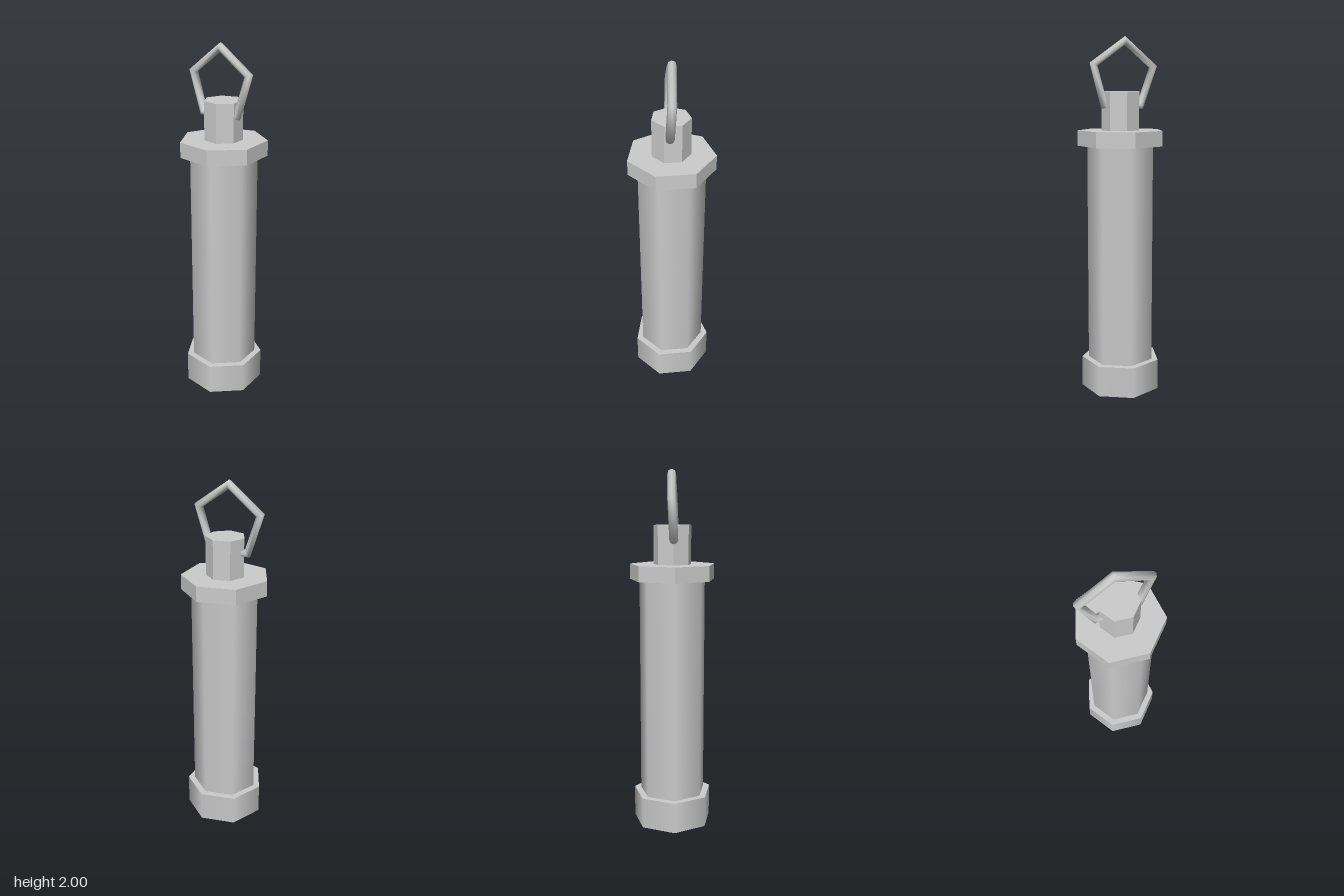
import * as THREE from 'three';

const SIDES = 7;
const AXIS_X = -0.012; // heptagons are centred slightly left so the whole is centred

// Seven-sided prism with one corner pointing to +x
function prism(name, radius, y0, y1, flatShading) {
  const geometry = new THREE.CylinderGeometry(radius, radius, y1 - y0, SIDES);
  geometry.rotateY(Math.PI / 2);
  const mesh = new THREE.Mesh(
    geometry,
    new THREE.MeshStandardMaterial({ color: 0xcccccc, flatShading })
  );
  mesh.name = name;
  mesh.position.set(AXIS_X, (y0 + y1) / 2, 0);
  return mesh;
}

export function createModel() {
  const group = new THREE.Group();
  group.name = 'canister';

  // Stacked body
  group.add(
    prism('baseCap', 0.226, 0, 0.175, false),
    prism('body', 0.188, 0.175, 1.405, false),
    prism('topFlange', 0.242, 1.405, 1.49, true),
    prism('neck', 0.107, 1.49, 1.703, true)
  );

  // Five-sided pull ring through the neck, turned and slightly tilted
  const ringGeometry = new THREE.TorusGeometry(0.193, 0.024, 8, 5);
  ringGeometry.rotateZ(Math.PI / 2);
  const ring = new THREE.Mesh(
    ringGeometry,
    new THREE.MeshStandardMaterial({ color: 0xcccccc })
  );
  ring.name = 'pullRing';
  ring.position.set(-0.028, 1.783, -0.006);
  ring.rotation.set(-0.04, -Math.PI / 6, 0.025, 'YXZ');
  group.add(ring);

  return group;
}
